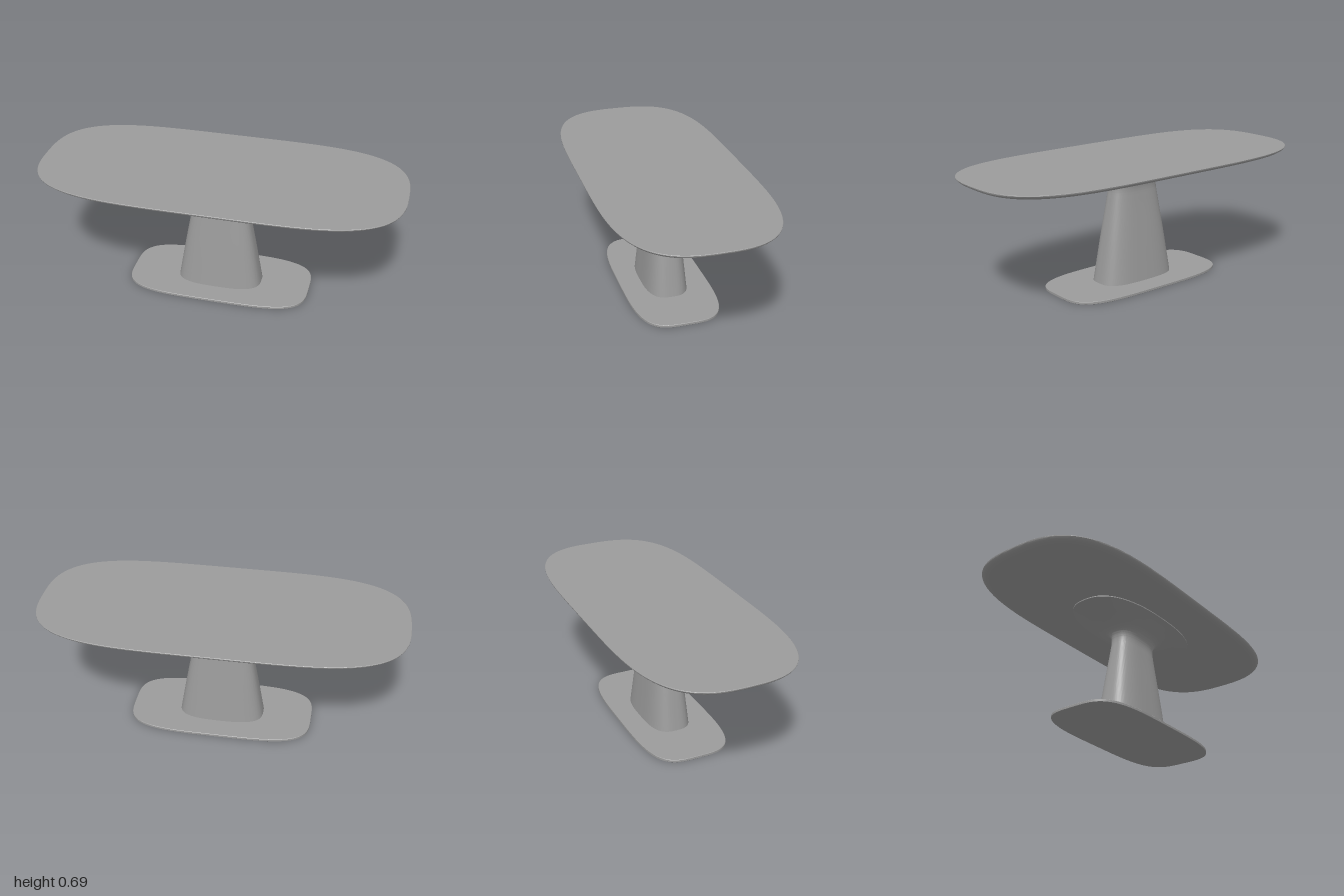
import * as THREE from 'three';
import { toCreasedNormals } from 'three/addons/utils/BufferGeometryUtils.js';

const material = new THREE.MeshStandardMaterial({ color: 0x9b9b9b });
const SEGMENTS = 144;

// Superellipse point; px and pz set how full the outline is along x and z
function outlinePoint(j, a, b, px, pz) {
  const t = (j / SEGMENTS) * Math.PI * 2;
  const c = Math.cos(t), s = Math.sin(t);
  return [
    a * Math.sign(c) * Math.abs(c) ** (2 / px),
    b * Math.sign(s) * Math.abs(s) ** (2 / pz),
  ];
}

// Closed loft through sections [half width, height, half depth], bottom to top;
// fullness(y) gives the two outline exponents at each height
function loft(name, sections, fullness, crease) {
  const n = SEGMENTS;
  const positions = [];
  const index = [];
  for (const [a, y, b] of sections) {
    for (let j = 0; j < n; j++) {
      const [x, z] = outlinePoint(j, a, b, ...fullness(y));
      positions.push(x, y, z);
    }
  }
  for (let r = 0; r < sections.length - 1; r++) {
    for (let j = 0; j < n; j++) {
      const a = r * n + j, b = r * n + ((j + 1) % n);
      index.push(a, a + n, b, b, a + n, b + n);
    }
  }
  // End caps
  const last = sections.length - 1;
  const bottom = positions.length / 3;
  positions.push(0, sections[0][1], 0, 0, sections[last][1], 0);
  for (let j = 0; j < n; j++) {
    const k = (j + 1) % n;
    index.push(bottom, j, k, bottom + 1, last * n + k, last * n + j);
  }
  const geometry = new THREE.BufferGeometry();
  geometry.setAttribute('position', new THREE.Float32BufferAttribute(positions, 3));
  geometry.setIndex(index);
  const mesh = new THREE.Mesh(toCreasedNormals(geometry, crease), material);
  mesh.name = name;
  return mesh;
}

// Smooth profile through a few sections
function smoothSections(sections, count) {
  const curve = new THREE.CatmullRomCurve3(sections.map((s) => new THREE.Vector3(...s)), false, 'centripetal');
  return curve.getPoints(count).map((p) => p.toArray());
}

export function createModel() {
  const group = new THREE.Group();
  group.name = 'pedestalTable';

  // Thin floor plate with slightly eased edges
  group.add(loft('basePlate', [
    [0.510, 0, 0.242], [0.512, 0.002, 0.244], [0.512, 0.013, 0.244], [0.510, 0.015, 0.242],
  ], () => [3.8, 3.8], 0.5));

  // Tapered column flaring into a rounder support under the top
  const flare = smoothSections([
    [0.237, 0.015, 0.121], [0.196, 0.26, 0.097], [0.156, 0.48, 0.0745], [0.148, 0.53, 0.071],
    [0.149, 0.558, 0.074], [0.16, 0.583, 0.084], [0.19, 0.602, 0.102],
    [0.255, 0.621, 0.134], [0.34, 0.639, 0.172], [0.43, 0.657, 0.213],
  ], 60);
  const columnFullness = (y) => {
    const n = 3 - 0.5 * THREE.MathUtils.smoothstep(y, 0.5, 0.657);
    return [n, n];
  };
  group.add(loft('column', [...flare, [0.43, 0.663, 0.213]], columnFullness, 0.6));

  // Table top with its underside edge rounded away
  group.add(loft('tableTop', [
    [0.955, 0.662, 0.4], [0.969, 0.665, 0.413], [0.981, 0.669, 0.425], [0.991, 0.675, 0.435],
    [0.998, 0.682, 0.442], [1, 0.686, 0.444], [1, 0.689, 0.444], [0.998, 0.691, 0.442],
  ], () => [4.2, 2.85], 0.5));

  return group;
}
